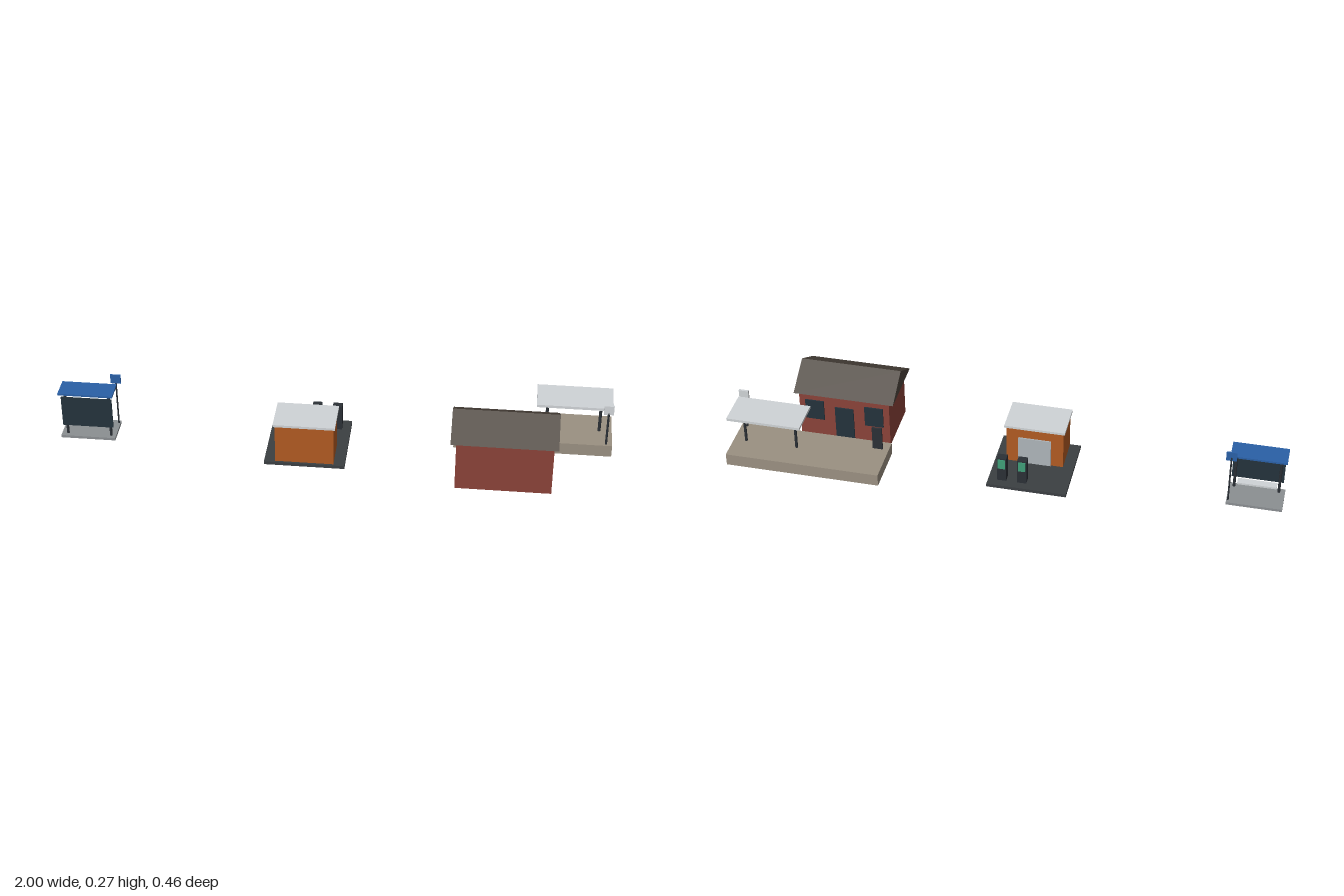
import * as THREE from 'three';

const mat = (color) => new THREE.MeshStandardMaterial({ color, flatShading: true });
const M = {
  brick: mat(0x8a4239), roof: mat(0x4c443c), stone: mat(0x9a9081), pale: mat(0xcfd3d6),
  dark: mat(0x2b3036), glass: mat(0x24323c), orange: mat(0xb05a22), asphalt: mat(0x3b3f42),
  door: mat(0xaeb4b9), green: mat(0x3f9e78), blue: mat(0x2a60a6), paving: mat(0x8b8f92),
};

// Box given by its extents [min, max] on each axis
function box(parent, name, material, [x0, x1], [y0, y1], [z0, z1]) {
  const mesh = new THREE.Mesh(new THREE.BoxGeometry(x1 - x0, y1 - y0, z1 - z0), material);
  mesh.position.set((x0 + x1) / 2, (y0 + y1) / 2, (z0 + z1) / 2);
  mesh.name = name;
  parent.add(mesh);
}

// Upright round post from y0 to y1
function post(parent, name, r, x, z, y0, y1) {
  const mesh = new THREE.Mesh(new THREE.CylinderGeometry(r, r, y1 - y0, 8), M.dark);
  mesh.position.set(x, (y0 + y1) / 2, z);
  mesh.name = name;
  parent.add(mesh);
}

function group(parent, name) {
  const g = new THREE.Group();
  g.name = name;
  parent.add(g);
  return g;
}

function buildStation(root) {
  const g = group(root, 'station');
  box(g, 'stationWalls', M.brick, [0.447, 0.787], [0.002, 0.196], [0.005, 0.215]);

  // Gable roof: triangle in z-y, swept along x
  const gable = new THREE.Shape([
    new THREE.Vector2(-0.12, 0), new THREE.Vector2(0.12, 0), new THREE.Vector2(0, 0.072),
  ]);
  const geo = new THREE.ExtrudeGeometry(gable, { depth: 0.375, bevelEnabled: false });
  geo.rotateY(Math.PI / 2);
  const roof = new THREE.Mesh(geo, M.roof);
  roof.position.set(0.4275, 0.195, 0.11);
  roof.name = 'gableRoof';
  g.add(roof);

  // Door and windows on the platform side
  box(g, 'stationDoor', M.glass, [0.582, 0.652], [0.002, 0.145], [0, 0.006]);
  for (const x of [0.505, 0.729])
    box(g, 'stationWindow', M.glass, [x - 0.035, x + 0.035], [0.082, 0.164], [0, 0.006]);
}

function buildPlatform(root) {
  const g = group(root, 'platform');
  box(g, 'platformSlab', M.stone, [0.43, 1], [0, 0.046], [-0.23, -0.037]);
  box(g, 'platformCanopy', M.pale, [0.722, 0.995], [0.178, 0.188], [-0.2, -0.064]);
  for (const x of [0.762, 0.954]) post(g, 'canopyPost', 0.0055, x, -0.133, 0.046, 0.178);
  post(g, 'signPost', 0.004, 0.978, -0.05, 0.046, 0.18);
  box(g, 'platformSign', M.pale, [0.96, 0.996], [0.173, 0.209], [-0.055, -0.047]);
  box(g, 'noticeBoard', M.dark, [0.453, 0.49], [0.046, 0.138], [-0.08, -0.073]);
}

function buildFuelStop(root) {
  const g = group(root, 'fuelStop');
  box(g, 'forecourt', M.asphalt, [-0.24, 0.05], [0, 0.012], [-0.15, 0.14]);
  box(g, 'shopWalls', M.orange, [-0.2, 0.01], [0.012, 0.163], [0.002, 0.132]);
  box(g, 'shopRoof', M.pale, [-0.206, 0.016], [0.163, 0.172], [-0.006, 0.14]);
  box(g, 'shopDoor', M.door, [-0.155, -0.035], [0.012, 0.122], [-0.003, 0.003]);
  for (const x of [-0.073, 0.001]) {
    box(g, 'fuelPump', M.dark, [x - 0.017, x + 0.017], [0.012, 0.11], [-0.119, -0.091]);
    box(g, 'pumpDisplay', M.green, [x - 0.013, x + 0.013], [0.066, 0.105], [-0.122, -0.118]);
  }
}

function buildBusStop(root) {
  const g = group(root, 'busShelter');
  box(g, 'shelterBase', M.paving, [-1, -0.8], [0, 0.01], [-0.066, 0.05]);
  box(g, 'shelterRoof', M.blue, [-1, -0.8], [0.185, 0.192], [-0.032, 0.052]);
  box(g, 'shelterPanel', M.glass, [-0.992, -0.806], [0.05, 0.17], [0.036, 0.041]);
  for (const x of [-0.978, -0.818]) post(g, 'shelterPost', 0.005, x, 0.031, 0.01, 0.186);
  box(g, 'shelterBench', M.pale, [-0.97, -0.83], [0.045, 0.052], [0, 0.028]);
  post(g, 'stopPole', 0.003, -0.806, -0.05, 0.01, 0.2);
  box(g, 'stopSign', M.blue, [-0.825, -0.787], [0.186, 0.222], [-0.051, -0.046]);
}

export function createModel() {
  const root = new THREE.Group();
  root.name = 'transportStops';
  buildStation(root);
  buildPlatform(root);
  buildFuelStop(root);
  buildBusStop(root);
  return root;
}
